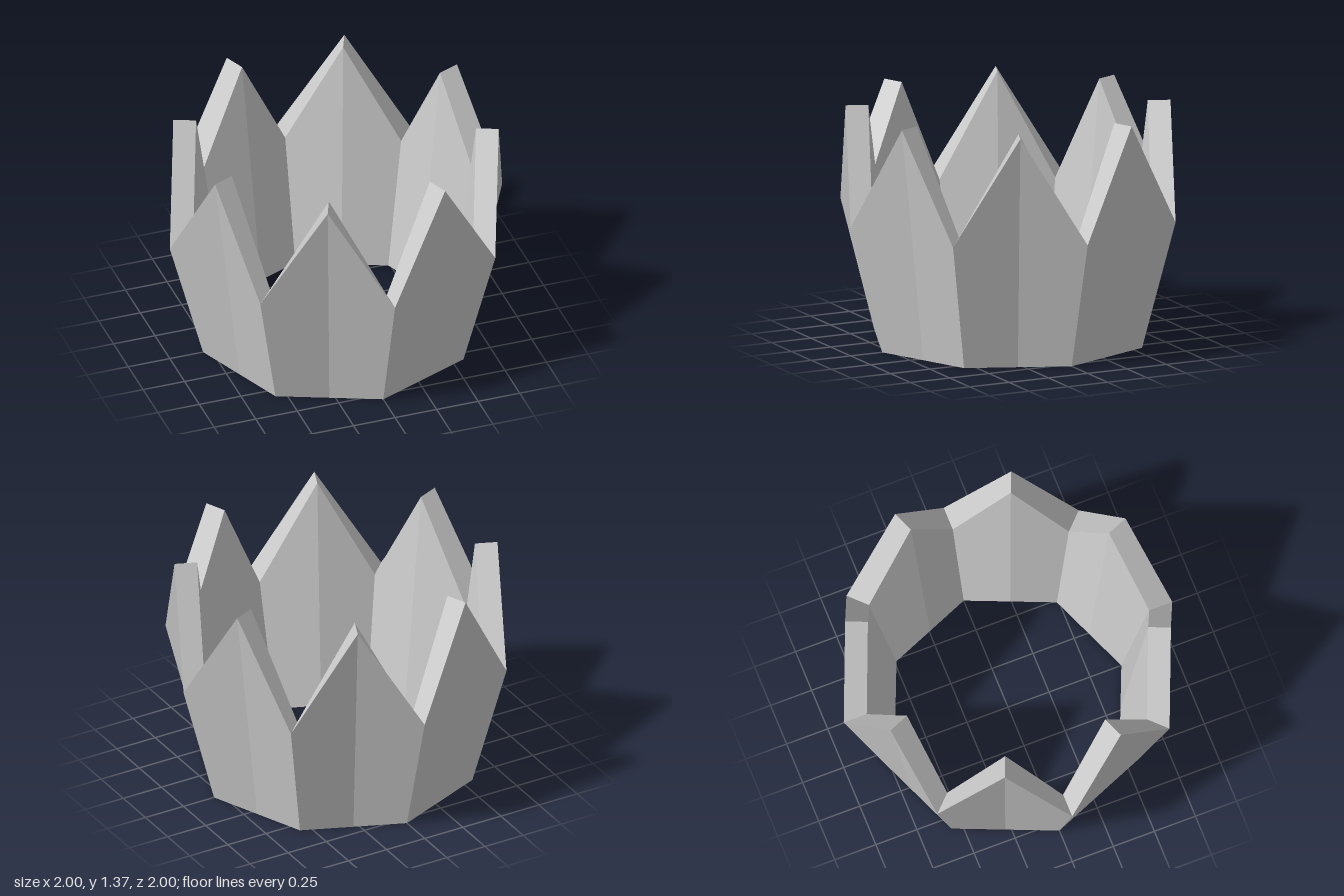
import * as THREE from 'three';

const POINTS = 8;             // number of crown points
const STEPS = POINTS * 2;     // valleys and tips alternate around the ring
const APOTHEM = Math.cos(Math.PI / POINTS);

// Vertex on an octagonal ring: even steps are corners, odd steps are edge midpoints
function ringPoint(step, radius, y) {
  const angle = (step / STEPS) * Math.PI * 2;
  const r = step % 2 ? radius * APOTHEM : radius;
  return new THREE.Vector3(Math.sin(angle) * r, y, Math.cos(angle) * r);
}

// Builds quads with one shared normal each, so every facet reads as flat
function facetGeometry(quads) {
  const positions = [], normals = [];
  for (const [a, b, c, d] of quads) {
    const n = c.clone().sub(a).cross(d.clone().sub(b)).normalize();
    for (const p of [a, b, c, a, c, d]) {
      positions.push(p.x, p.y, p.z);
      normals.push(n.x, n.y, n.z);
    }
  }
  const geometry = new THREE.BufferGeometry();
  geometry.setAttribute('position', new THREE.Float32BufferAttribute(positions, 3));
  geometry.setAttribute('normal', new THREE.Float32BufferAttribute(normals, 3));
  return geometry;
}

export function createModel() {
  const group = new THREE.Group();
  group.name = 'crown';
  const material = new THREE.MeshStandardMaterial({ color: 0xcccccc });

  const baseOuter = 0.8, baseInner = 0.69;
  const rimOuter = 1.0, rimInner = 0.86;
  const valleyY = 0.745, tipY = 1.37;

  const outer = [], inner = [], rim = [], base = [];
  for (let i = 0; i < STEPS; i++) {
    // Cross-sections at this step and the next
    const [p, q] = [i, (i + 1) % STEPS].map((s) => {
      const top = s % 2 ? tipY : valleyY;
      return {
        bo: ringPoint(s, baseOuter, 0), bi: ringPoint(s, baseInner, 0),
        to: ringPoint(s, rimOuter, top), ti: ringPoint(s, rimInner, top),
      };
    });
    outer.push([p.bo, q.bo, q.to, p.to]);
    inner.push([p.bi, p.ti, q.ti, q.bi]);
    rim.push([p.to, q.to, q.ti, p.ti]);
    base.push([p.bo, p.bi, q.bi, q.bo]);
  }

  // Outer wall, inner wall, zigzag top rim and flat underside
  const parts = { outerWall: outer, innerWall: inner, pointedRim: rim, baseRing: base };
  for (const [name, quads] of Object.entries(parts)) {
    const mesh = new THREE.Mesh(facetGeometry(quads), material);
    mesh.name = name;
    group.add(mesh);
  }
  return group;
}
